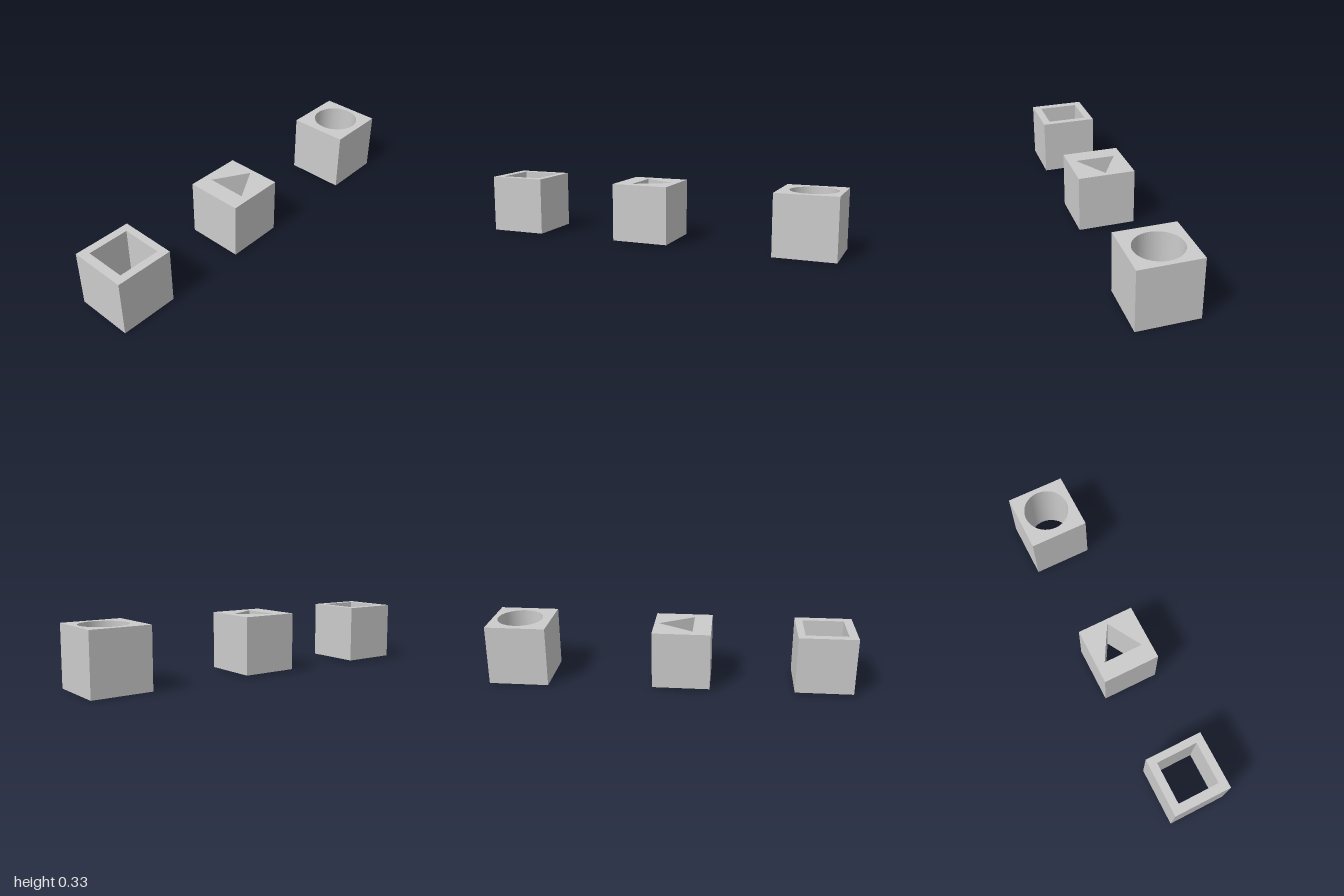
import * as THREE from 'three';

const material = new THREE.MeshStandardMaterial({ color: 0xcccccc, flatShading: true });

// Closed outline from x, z pairs (shape y is -z, so it lies flat after rotation)
const outline = (points) => points.map(([x, z]) => new THREE.Vector2(x, -z));

const rectangle = (halfX, zBack, zFront) =>
  outline([[-halfX, zFront], [halfX, zFront], [halfX, zBack], [-halfX, zBack]]);

// Cube with a vertical hole cut all the way through
function holedCube(name, { half, zBack, zFront, bottom, height }, hole) {
  const shape = new THREE.Shape(rectangle(half, zBack, zFront));
  shape.holes.push(hole);
  const geometry = new THREE.ExtrudeGeometry(shape, {
    depth: height, bevelEnabled: false, curveSegments: 32,
  });
  geometry.rotateX(-Math.PI / 2);
  geometry.translate(0, bottom, 0);
  const mesh = new THREE.Mesh(geometry, material);
  mesh.name = name;
  return mesh;
}

export function createModel() {
  const group = new THREE.Group();
  group.name = 'holedCubes';

  // Front cube: square hole, set slightly towards the back
  const squareHole = new THREE.Path(rectangle(0.114, 0.724, 0.952));
  group.add(holedCube('squareHoleCube',
    { half: 0.158, zBack: 0.684, zFront: 1, bottom: 0.009, height: 0.316 }, squareHole));

  // Middle cube: triangular hole pointing back
  const triangleHole = new THREE.Path(outline([[-0.111, 0.126], [0.111, 0.126], [0, -0.065]]));
  group.add(holedCube('triangleHoleCube',
    { half: 0.158, zBack: -0.091, zFront: 0.225, bottom: 0.009, height: 0.316 }, triangleHole));

  // Back cube: larger, with a round hole
  const roundHole = new THREE.Path().absarc(0, 0.845, 0.126, 0, Math.PI * 2, true);
  group.add(holedCube('roundHoleCube',
    { half: 0.165, zBack: -1, zFront: -0.669, bottom: 0, height: 0.331 }, roundHole));

  return group;
}
